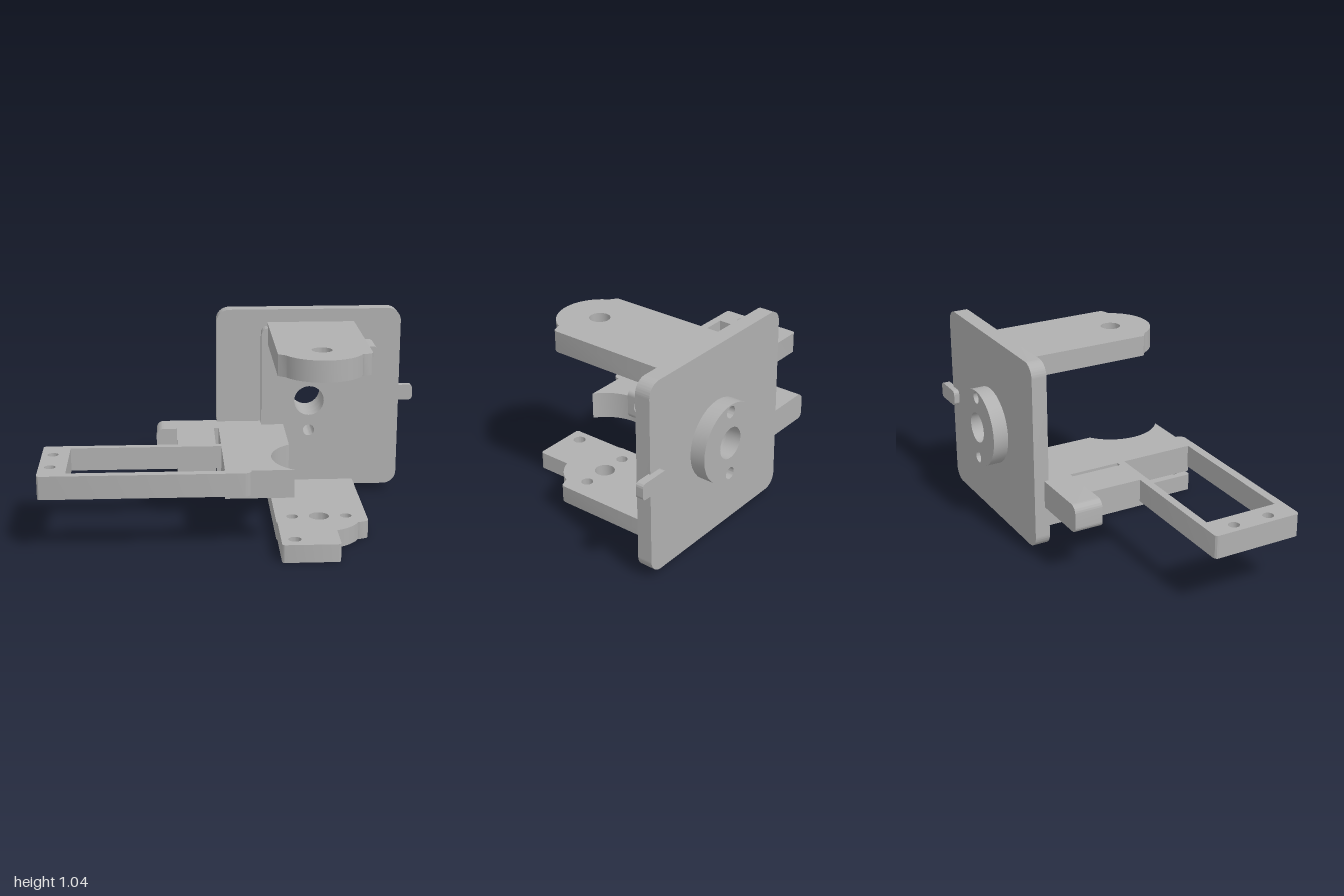
import * as THREE from 'three';
import { toCreasedNormals } from 'three/addons/utils/BufferGeometryUtils.js';

const gray = new THREE.MeshStandardMaterial({ color: 0xb0b0b0 });
gray.name = 'gray plastic';

// Rectangle with one radius per corner: [x0y0, x1y0, x1y1, x0y1]
function roundedRect(x0, y0, x1, y1, [a, b, c, d]) {
  const s = new THREE.Shape();
  const H = Math.PI / 2;
  const corner = (x, y, r, start) => (r ? s.absarc(x, y, r, start, start + H, false) : s.lineTo(x, y));
  s.moveTo(x0 + a, y0);
  corner(x1 - b, y0 + b, b, -H);
  corner(x1 - c, y1 - c, c, 0);
  corner(x0 + d, y1 - d, d, H);
  corner(x0 + a, y0 + a, a, 2 * H);
  s.closePath();
  return s;
}

function addHoles(shape, holes) {
  for (const [x, y, r] of holes) {
    shape.holes.push(new THREE.Path().absarc(x, y, r, 0, Math.PI * 2, true));
  }
  return shape;
}

function extrude(shape, depth, steps = 1) {
  return new THREE.ExtrudeGeometry(shape, { depth, steps, bevelEnabled: false, curveSegments: 16 });
}

export function createModel() {
  const group = new THREE.Group();
  const add = (name, geometry) => {
    const mesh = new THREE.Mesh(toCreasedNormals(geometry, 0.6), gray);
    mesh.name = name;
    group.add(mesh);
  };
  // Upright plate: outline in x, y
  const upright = (name, shape, z0, z1) => add(name, extrude(shape, z1 - z0).translate(0, 0, z0));
  // Level plate: outline in x, z
  const level = (name, shape, y0, y1) => add(name, extrude(shape, y1 - y0).rotateX(Math.PI / 2).translate(0, y1, 0));

  // Back plate, boss and inner plate share the same bores
  const bores = [[0.41, 0.547, 0.081], [0.41, 0.714, 0.031], [0.41, 0.38, 0.031]];
  upright('backPlate', addHoles(roundedRect(-0.09, 0.04, 0.91, 1.04, [0.07, 0.07, 0.07, 0.07]), bores), -0.51, -0.43);
  upright('innerPlate', addHoles(roundedRect(0.15, 0.035, 0.67, 0.95, [0.035, 0.035, 0.035, 0.035]), bores), -0.431, -0.36);
  const disc = new THREE.Shape().absarc(0.41, 0.547, 0.205, 0, Math.PI * 2, false);
  upright('rearBoss', addHoles(disc, bores), -0.59, -0.509);
  upright('sideTab', roundedRect(0.83, 0.505, 1, 0.59, [0.02, 0.02, 0.02, 0.02]), -0.54, -0.5);

  // Arms with rounded noses; the lower one carries a forward tab
  const cx = 0.41, cz = 0.205, r = 0.213;
  function armShape(back, tab) {
    const s = new THREE.Shape();
    s.moveTo(0.185, back);
    s.lineTo(0.655, back);
    s.lineTo(0.655, 0.27);
    s.lineTo(0.645, 0.287);
    s.lineTo(0.61, 0.3);
    if (tab) {
      s.absarc(cx, cz, r, 0.453, Math.acos(0.07 / r), false);
      s.lineTo(0.48, 0.57);
      s.absarc(0.465, 0.575, 0.015, 0, Math.PI / 2, false);
      s.absarc(0.205, 0.575, 0.015, Math.PI / 2, Math.PI, false);
      s.lineTo(0.19, 0.29);
    } else {
      s.absarc(cx, cz, r, 0.453, Math.PI - 0.5, false);
    }
    s.lineTo(0.185, 0.28);
    s.closePath();
    return s;
  }
  level('upperArm', addHoles(armShape(-0.43, false), [[cx, cz, 0.052]]), 0.86, 0.97);
  level('lowerArm', addHoles(armShape(-0.45, true),
    [[cx, cz, 0.052], [cx - 0.138, cz, 0.03], [cx + 0.138, cz, 0.03], [0.258, 0.515, 0.032]]), 0, 0.093);

  // Middle shelf with concave front scoop
  const shelf = new THREE.Shape();
  shelf.moveTo(-0.085, -0.432);
  shelf.lineTo(0.27, -0.432);
  shelf.lineTo(0.27, 0);
  shelf.absarc(cx, cz, 0.248, Math.atan2(-0.205, -0.14), Math.atan2(0.2, -0.147), true);
  shelf.lineTo(-0.08, 0.405);
  shelf.closePath();
  level('middleShelf', shelf, 0.27, 0.415);
  level('shelfStem', roundedRect(-0.31, -0.32, -0.11, 0.01, [0, 0, 0, 0]), 0.27, 0.415);
  upright('shelfEndBlock', roundedRect(-0.42, 0.27, 0, 0.415, [0.03, 0, 0, 0.04]), -0.455, -0.305);

  // Open rectangular frame
  const frame = addHoles(roundedRect(-1, -0.03, 0.05, 0.445, [0.02, 0, 0.035, 0.02]),
    [[-0.943, 0.108, 0.028], [-0.943, 0.303, 0.028]]);
  frame.holes.push(new THREE.Path([[-0.86, 0.01], [-0.86, 0.4], [-0.08, 0.4], [-0.08, 0.01]]
    .map(([x, z]) => new THREE.Vector2(x, z))));
  level('openFrame', frame, 0.295, 0.415);

  // Cross-bored lug: outline in z, y run along x, its long edges rounded off
  const steps = 12, width = 0.135, round = 0.025;
  const lug = extrude(addHoles(roundedRect(0.262, 0.73, 0.432, 0.87, [0, 0, 0, 0]), [[0.34, 0.8, 0.043]]), width, steps);
  const p = lug.attributes.position;
  for (let i = 0; i < p.count; i++) {
    const k = Math.round(p.getZ(i) / width * steps);
    const a = Math.min(k, steps - k) / (steps / 2) * Math.PI / 2;
    const inset = round * (1 - Math.cos(a));
    const half = 0.07 - round + round * Math.sin(a);
    p.setY(i, THREE.MathUtils.clamp(p.getY(i), 0.8 - half, 0.8 + half));
    p.setZ(i, k <= steps / 2 ? inset : width - inset);
    if (k === steps / 2) p.setZ(i, width / 2);
  }
  add('boredLug', lug.rotateY(Math.PI / 2).translate(0.627, 0, 0));
  // Outline x became -z, so the lug lies against the back plate
  return group;
}
